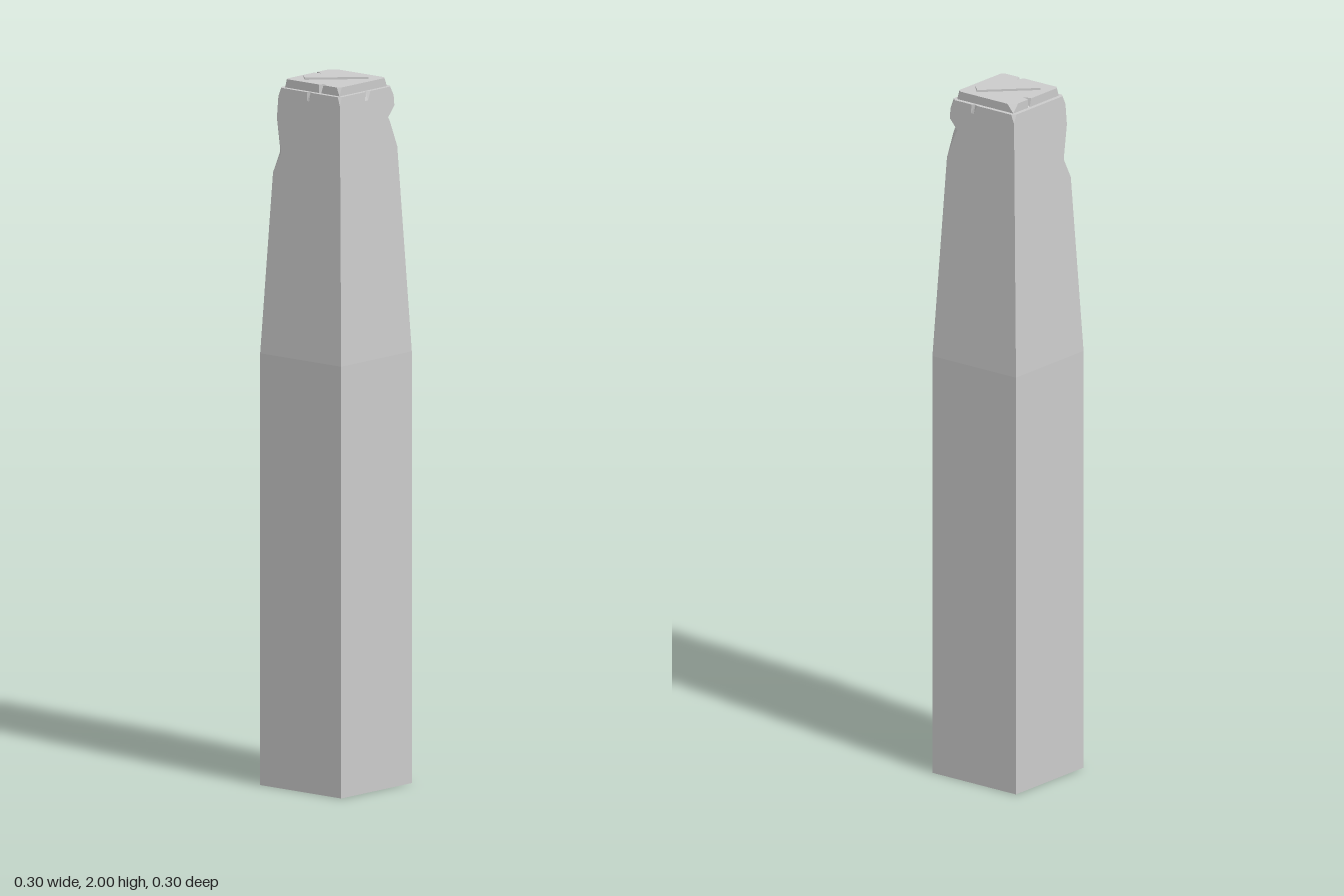
import * as THREE from 'three';

const material = new THREE.MeshStandardMaterial({ color: 0xcccccc, flatShading: true, side: THREE.DoubleSide });

// Outward normal and running direction (x, z) of the front, right, back and left sides
const SIDES = [
  { n: [0, 1], d: [1, 0] },
  { n: [1, 0], d: [0, -1] },
  { n: [0, -1], d: [-1, 0] },
  { n: [-1, 0], d: [0, 1] },
];

// Square section with cut corners (each at the start of its side) and one edge nick per side
function section({ y, half, cuts = [0, 0, 0, 0], depth = 0 }, nicks) {
  const points = [];
  SIDES.forEach(({ n, d }, k) => {
    const { at, width, deep } = nicks[k];
    const along = [
      [-half + cuts[k], 0],
      [at - width, 0],
      [at, deep * depth],
      [at + width, 0],
      [half - cuts[(k + 1) % 4], 0],
    ];
    for (const [t, inset] of along) {
      const out = half - inset;
      points.push(new THREE.Vector3(n[0] * out + d[0] * t, y, n[1] * out + d[1] * t));
    }
  });
  return points;
}

// Skin the sections from bottom to top and close the top; the underside stays open
function loft(levels, nicks) {
  const rings = levels.map((level) => section(level, nicks));
  const positions = [];
  const tri = (a, b, c) => {
    if (new THREE.Triangle(a, b, c).getArea() < 1e-9) return;
    for (const p of [a, b, c]) positions.push(p.x, p.y, p.z);
  };
  const count = rings[0].length;
  const top = rings[rings.length - 1];
  const centre = new THREE.Vector3(0, top[0].y, 0);
  for (let i = 0; i < count; i++) {
    const j = (i + 1) % count;
    for (let r = 0; r < rings.length - 1; r++) {
      const low = rings[r], high = rings[r + 1];
      tri(low[i], low[j], high[j]);
      tri(low[i], high[j], high[i]);
    }
    tri(centre, top[i], top[j]);
  }
  const geometry = new THREE.BufferGeometry();
  geometry.setAttribute('position', new THREE.Float32BufferAttribute(positions, 3));
  geometry.computeVertexNormals();
  return geometry;
}

const nick = (at = 0, width = 0.008, deep = 0) => ({ at, width, deep });

function add(group, name, geometry) {
  const mesh = new THREE.Mesh(geometry, material);
  mesh.name = name;
  group.add(mesh);
  return mesh;
}

export function createModel() {
  const group = new THREE.Group();
  group.name = 'stonePost';

  // Straight shaft, tapering above the shoulder, with chips in two opposite corners
  const SHOULDER = 1.22, RIM = 1.97;
  const taper = (y) => THREE.MathUtils.mapLinear(Math.max(y, SHOULDER), SHOULDER, RIM, 0.149, 0.112);
  const levels = [
    [0], [SHOULDER], [1.73],
    [1.785, [0.024, 0, 0, 0]],
    [1.8, [0.022, 0, 0, 0]],
    [1.87, [0.004, 0, 0.022, 0]],
    [1.885, [0, 0, 0.03, 0]],
    [1.915],
    [1.945],
    [RIM, [0.01, 0.008, 0.012, 0.01], 1],
  ].map(([y, cuts, depth]) => ({ y, half: taper(y), cuts, depth }));
  add(group, 'shaft', loft(levels, [
    nick(0, 0.008, 0.006),
    nick(0.005, 0.012, 0.008),
    nick(-0.03, 0.01, 0.006),
    nick(),
  ]));

  // Inset cap with worn corners and two cracks running in from its edges
  const CAP_TOP = 1.994;
  add(group, 'cap', loft([
    { y: RIM, half: 0.1 },
    { y: CAP_TOP, half: 0.1, cuts: [0.008, 0.01, 0.01, 0.021], depth: 1 },
  ], [
    nick(0.033, 0.008, 0.022),
    nick(),
    nick(),
    nick(-0.028, 0.007, 0.03),
  ]));

  // Raised bar laid diagonally across the cap
  const bar = add(group, 'diagonalBar', new THREE.BoxGeometry(0.177, 0.012, 0.034));
  bar.position.y = 2 - 0.006;
  bar.rotation.y = Math.PI / 4;

  return group;
}
